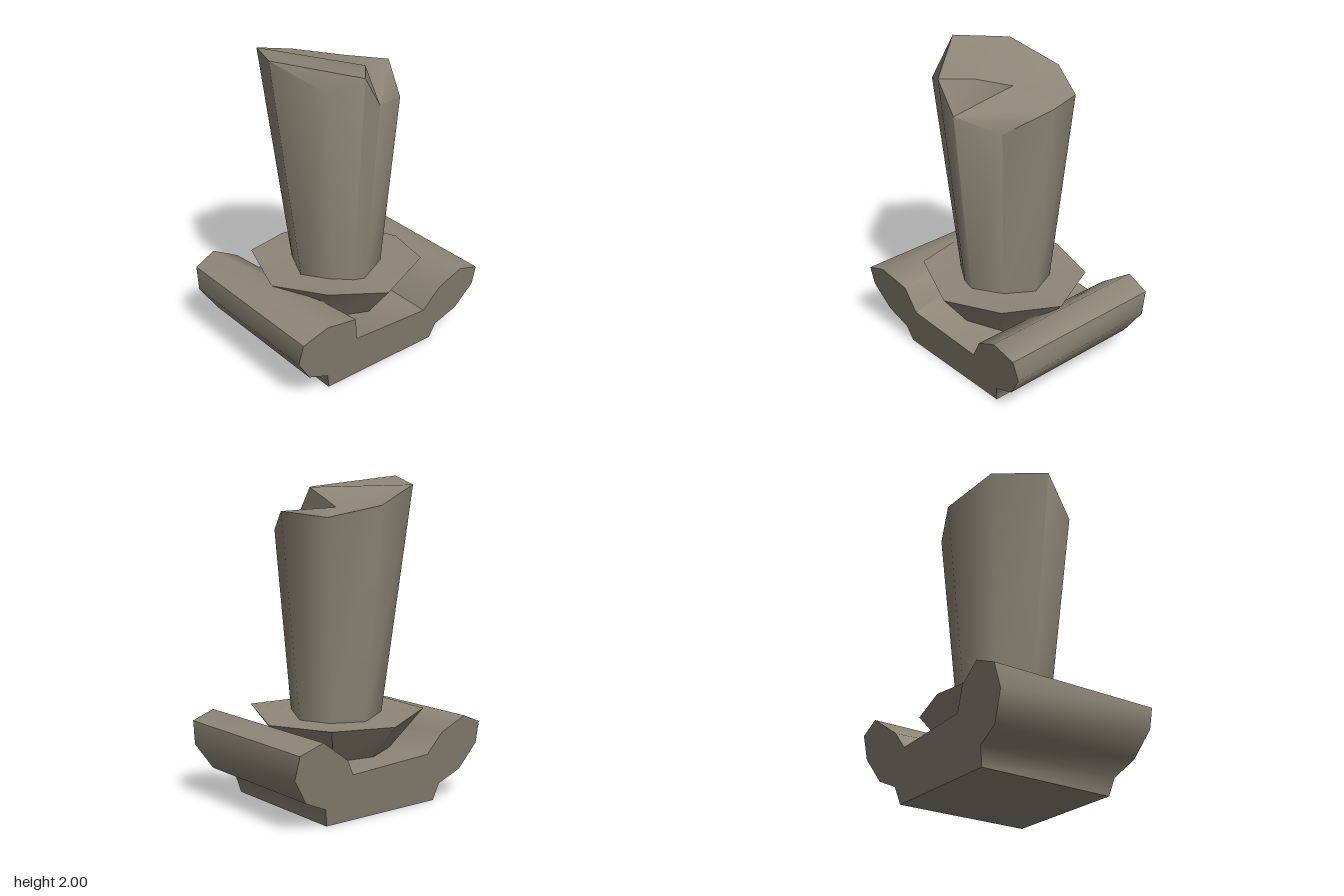
import * as THREE from 'three';
import { toCreasedNormals } from 'three/addons/utils/BufferGeometryUtils.js';

// Mesh from points and triangles, smooth below the crease angle (radians)
function faceted(name, points, triangles, material, crease) {
  const flat = [];
  for (const tri of triangles) for (const i of tri) flat.push(...points[i]);
  const geometry = new THREE.BufferGeometry();
  geometry.setAttribute('position', new THREE.Float32BufferAttribute(flat, 3));
  const mesh = new THREE.Mesh(toCreasedNormals(geometry, crease), material);
  mesh.name = name;
  return mesh;
}

// Side wall between two equal rings, starting at indices lower and upper
function wall(lower, upper, count) {
  const tris = [];
  for (let i = 0; i < count; i++) {
    const j = (i + 1) % count;
    tris.push([lower + i, lower + j, upper + j], [lower + i, upper + j, upper + i]);
  }
  return tris;
}

// Ring of the same directions with a fixed radius and height
const ringBelow = (ring, radius, y) => ring.map(([x, , z]) => {
  const k = radius / Math.hypot(x, z);
  return [x * k, y, z * k];
});

function makeBase(material) {
  // Scrolled sides, shared by both ends; only the worn trough differs
  const lowerRight = [[0.42, 0], [0.445, 0.11], [0.6, 0.18], [0.705, 0.34], [0.695, 0.485]];
  const lowerLeft = lowerRight.map(([x, y]) => [-x, y]).reverse();
  const frontTrough = [[0.54, 0.535], [0.385, 0.45], [0.29, 0.298], [-0.265, 0.33], [-0.31, 0.51], [-0.53, 0.55]];
  const backTrough = [[0.54, 0.54], [0.34, 0.4], [0.28, 0.3], [-0.295, 0.33], [-0.385, 0.46], [-0.55, 0.545]];
  const depth = (y) => 0.445 + 0.24 * y;
  const section = (trough, side) =>
    [...lowerRight, ...trough, ...lowerLeft].map(([x, y]) => [x, y, side * depth(y)]);
  const front = section(frontTrough, 1);
  const back = section(backTrough, -1);
  const n = front.length;
  const cap = (pts) => THREE.ShapeUtils.triangulateShape(pts.map(([x, y]) => new THREE.Vector2(x, y)), []);
  const tris = wall(0, n, n).map(([a, b, c]) => [a, c, b]);
  tris.push(...cap(front).map(([a, b, c]) => [a, b, c]));
  tris.push(...cap(back).map(([a, b, c]) => [n + a, n + c, n + b]));
  // Walls run front to back, so flip them to face outwards
  const walls = tris.slice(0, 2 * n).map(([a, b, c]) => [a, b, c].reverse());
  return faceted('scrolledBase', [...front, ...back],
    [...walls.map(([a, b, c]) => [a, c, b]), ...tris.slice(2 * n)], material, 1.0);
}

function makeCollar(material) {
  // Uneven octagonal rim, tapering down into the trough
  const rim = [
    [0.51, 0.53, 0], [0.335, 0.535, -0.385], [-0.05, 0.53, -0.505], [-0.39, 0.58, -0.38],
    [-0.51, 0.545, 0], [-0.365, 0.605, 0.375], [0, 0.54, 0.505], [0.385, 0.583, 0.375],
  ];
  const n = rim.length;
  const points = [...ringBelow(rim, 0.3, 0.28), ...rim, [0, 0.53, 0]];
  const tris = wall(0, n, n);
  for (let i = 0; i < n; i++) tris.push([n + i, n + (i + 1) % n, 2 * n]);
  return faceted('collar', points, tris, material, 0.6);
}

function makeShaft(material) {
  // Broken top edge, then the ridge point and the lowest inner point
  const top = [
    [0.41, 1.8, 0], [0.29, 1.77, -0.29], [0, 1.837, -0.43], [-0.33, 1.95, -0.33], [-0.48, 2, 0],
    [-0.31, 1.855, 0.3], [-0.12, 1.93, 0.405], [0, 1.735, 0.395], [0.27, 1.675, 0.265],
  ];
  const n = top.length;
  const points = [...top, [0.01, 1.93, 0.25], [0.025, 1.815, -0.035], ...ringBelow(top, 0.278, 0.5)];
  const fracture = [
    [4, 5, 6], [3, 4, 6], [3, 6, 9], [3, 9, 10], [2, 3, 10],
    [1, 2, 10], [0, 1, 10], [7, 8, 0], [7, 0, 10], [9, 7, 10], [6, 7, 9],
  ];
  return faceted('brokenShaft', points, [...wall(n + 2, 0, n), ...fracture], material, 0.9);
}

export function createModel() {
  const stone = new THREE.MeshStandardMaterial({ color: 0x8f8778 });
  stone.name = 'stone';
  const group = new THREE.Group();
  group.name = 'brokenColumn';
  group.add(makeBase(stone), makeCollar(stone), makeShaft(stone));
  return group;
}
